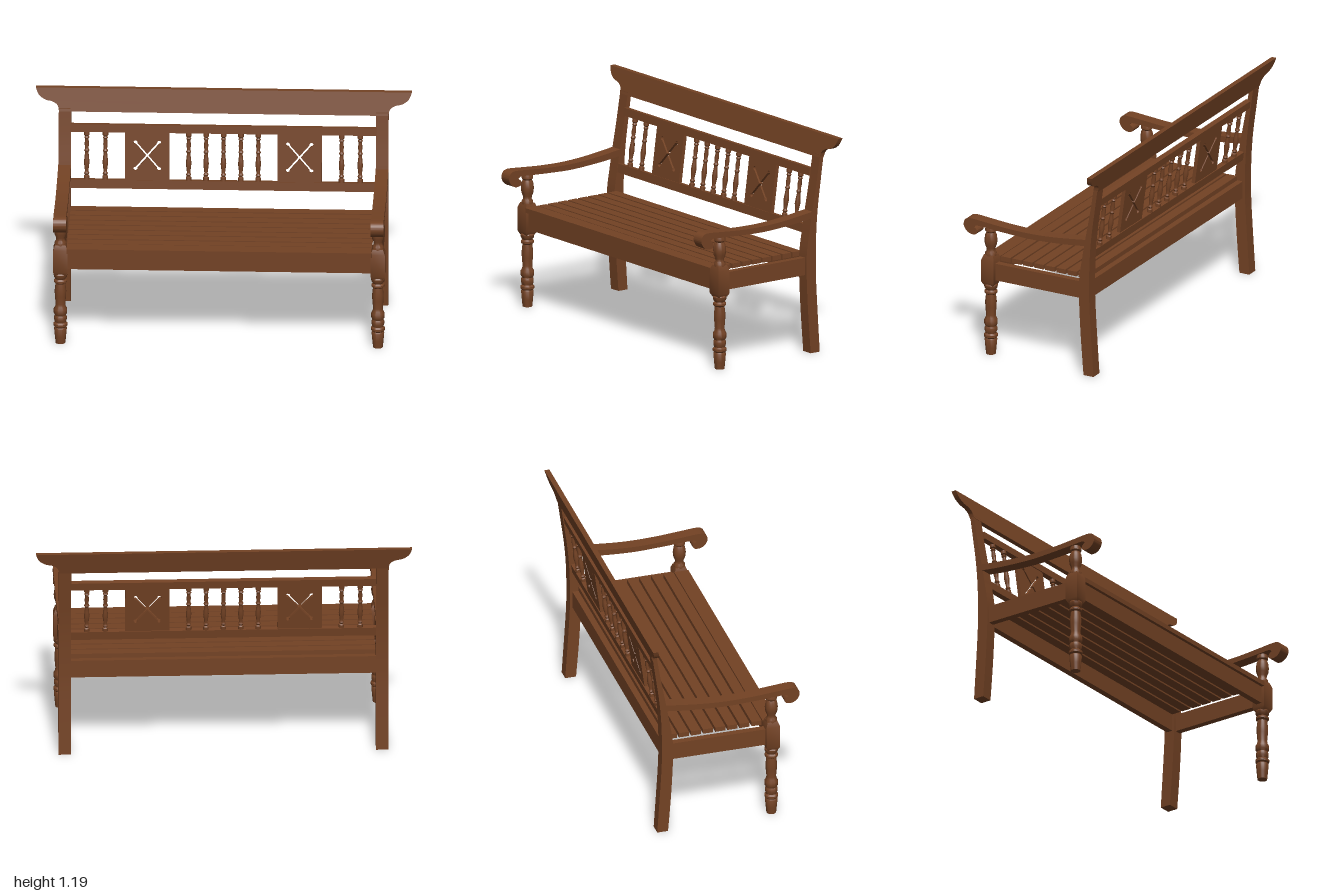
import * as THREE from 'three';
import { toCreasedNormals } from 'three/addons/utils/BufferGeometryUtils.js';

const V = (x, y) => new THREE.Vector2(x, y);

export function createModel() {
  const bench = new THREE.Group();
  bench.name = 'gardenBench';
  const wood = new THREE.MeshStandardMaterial({ color: 0x734224 });
  wood.name = 'brown wood';

  const add = (name, geo, parent = bench) => {
    const mesh = new THREE.Mesh(geo, wood);
    mesh.name = name;
    parent.add(mesh);
    return mesh;
  };
  // Box given by its limits on each axis
  const box = (name, x0, x1, y0, y1, z0, z1, parent) =>
    add(name, new THREE.BoxGeometry(x1 - x0, y1 - y0, z1 - z0)
      .translate((x0 + x1) / 2, (y0 + y1) / 2, (z0 + z1) / 2), parent);
  // Turned part from [radius, height] pairs
  const turned = (points, segments = 24) => toCreasedNormals(new THREE.LatheGeometry(
    points.map(([r, y]) => V(r, y)), segments, Math.PI / 4), 0.7);
  // Side profile in (z, y), extruded along x about x = 0
  const sideProfile = (shape, width) => toCreasedNormals(
    new THREE.ExtrudeGeometry(shape, { depth: width, bevelEnabled: false, curveSegments: 10 })
      .translate(0, 0, -width / 2).rotateY(-Math.PI / 2), 0.6);

  // Back post: splayed below the seat, raked above it
  const post = new THREE.Shape();
  post.moveTo(-0.365, 0);
  post.lineTo(-0.305, 0);
  post.splineThru([V(-0.288, 0.22), V(-0.278, 0.42), V(-0.279, 0.55), V(-0.297, 0.67),
    V(-0.316, 0.78), V(-0.342, 0.92), V(-0.368, 1.08)]);
  post.lineTo(-0.391, 1.08);
  post.splineThru([V(-0.373, 0.95), V(-0.353, 0.8), V(-0.342, 0.66), V(-0.339, 0.5),
    V(-0.343, 0.35), V(-0.365, 0)]);

  // Armrest: dipping bar with a rolled front end
  const arm = new THREE.Shape();
  arm.moveTo(-0.33, 0.742);
  arm.splineThru([V(-0.2, 0.726), V(0, 0.714), V(0.15, 0.718), V(0.28, 0.725), V(0.345, 0.728),
    V(0.363, 0.717)]);
  arm.splineThru([V(0.346, 0.703), V(0.344, 0.686), V(0.358, 0.675), V(0.385, 0.675),
    V(0.41, 0.69), V(0.425, 0.718), V(0.42, 0.745), V(0.402, 0.76), V(0.37, 0.763),
    V(0.28, 0.756), V(0.15, 0.747), V(0, 0.745), V(-0.15, 0.755), V(-0.33, 0.777)]);
  arm.closePath();

  const postGeo = sideProfile(post, 0.066);
  const armGeo = sideProfile(arm, 0.068);
  const lowerLegGeo = turned([[0, 0], [0.026, 0], [0.03, 0.04], [0.034, 0.085], [0.03, 0.092],
    [0.037, 0.1], [0.037, 0.112], [0.029, 0.12], [0.034, 0.135], [0.034, 0.15], [0.029, 0.16],
    [0.036, 0.172], [0.036, 0.195], [0.028, 0.21], [0.026, 0.225], [0.03, 0.27], [0.031, 0.3],
    [0.027, 0.335], [0.026, 0.342], [0.035, 0.35], [0.035, 0.36], [0.027, 0.368], [0.035, 0.38],
    [0.037, 0.395], [0.03, 0.405], [0, 0.405]]);
  const q = Math.SQRT2;
  const blockGeo = turned([[0, 0.395], [0.028 * q, 0.395], [0.038 * q, 0.415], [0.038 * q, 0.54],
    [0.028 * q, 0.568], [0, 0.568]], 4);
  const armPostGeo = turned([[0.03, 0.56], [0.031, 0.578], [0.023, 0.59], [0.024, 0.605],
    [0.032, 0.625], [0.035, 0.65], [0.031, 0.68], [0.024, 0.695], [0.031, 0.703],
    [0.031, 0.713], [0.026, 0.73]]);

  for (const [side, s] of [['left', 1], ['right', -1]]) {
    const end = new THREE.Group();
    end.name = side + 'End';
    end.position.x = s * 0.844;
    bench.add(end);
    add('backPost', postGeo, end);
    add('armrest', armGeo, end);
    for (const [name, geo] of [['frontLeg', lowerLegGeo], ['legBlock', blockGeo], ['armSupport', armPostGeo]]) {
      add(name, geo, end).position.z = 0.278;
    }
    box('sideRail', -0.018, 0.018, 0.43, 0.525, -0.285, 0.245, end);
  }

  // Seat frame and slats
  box('frontApron', -0.815, 0.815, 0.43, 0.526, 0.265, 0.3);
  box('backApron', -0.815, 0.815, 0.43, 0.526, -0.325, -0.29);
  box('frontSlat', -0.81, 0.81, 0.525, 0.551, 0.24, 0.318);
  for (let i = 0; i < 8; i++) {
    const z = 0.207 - i * 0.0672;
    box('seatSlat', -0.81, 0.81, 0.525, 0.551, z - 0.028, z + 0.028);
  }

  // Crest rail with flared, curved ends, leaning back
  const crest = new THREE.Shape();
  crest.moveTo(-0.876, 1.063);
  crest.lineTo(0.876, 1.063);
  crest.splineThru([V(0.884, 1.095), V(0.91, 1.114), V(0.95, 1.124), V(0.983, 1.148), V(1, 1.186)]);
  crest.lineTo(-1, 1.186);
  crest.splineThru([V(-0.983, 1.148), V(-0.95, 1.124), V(-0.91, 1.114), V(-0.884, 1.095), V(-0.876, 1.063)]);
  const crestGeo = new THREE.ExtrudeGeometry(crest, { depth: 0.028, bevelEnabled: false });
  const p = crestGeo.attributes.position;
  for (let i = 0; i < p.count; i++) {
    p.setZ(i, p.getZ(i) - 0.392 - (p.getY(i) - 1.063) * 0.26);
  }
  add('crestRail', toCreasedNormals(crestGeo, 0.6));

  // Back infill, tilted with the posts
  const back = new THREE.Group();
  back.name = 'backInfill';
  back.position.set(0, 0.65, -0.312);
  back.rotation.x = -0.135;
  bench.add(back);
  box('lowerRail', -0.815, 0.815, 0, 0.047, -0.015, 0.015, back);
  box('upperRail', -0.815, 0.815, 0.308, 0.35, -0.015, 0.015, back);

  // Turned spindles
  const spindleGeo = turned([[0.015, 0.04], [0.015, 0.065], [0.009, 0.07], [0.014, 0.08],
    [0.009, 0.09], [0.012, 0.115], [0.015, 0.14], [0.012, 0.17], [0.009, 0.195], [0.014, 0.205],
    [0.009, 0.215], [0.012, 0.24], [0.009, 0.268], [0.014, 0.276], [0.009, 0.284],
    [0.015, 0.29], [0.015, 0.312]], 14);
  for (const x of [-0.727, -0.628, -0.185, -0.0925, 0, 0.0925, 0.185, 0.628, 0.727]) {
    add('spindle', spindleGeo, back).position.x = x;
  }

  // Panels pierced by a cross with round tips
  const panel = new THREE.Shape([V(-0.118, 0.03), V(0.118, 0.03), V(0.118, 0.32), V(-0.118, 0.32)]);
  const cut = [];
  const angles = [49, 131, 229, 311].map(THREE.MathUtils.degToRad);
  const w = 0.006, tip = 0.011, reach = 0.096, cy = 0.181;
  angles.forEach((a, i) => {
    const half = (i % 2 ? 82 : 98) * Math.PI / 360; // half angle to the previous arm
    const d = w / Math.sin(half);
    cut.push(V(Math.cos(a - half) * d, cy + Math.sin(a - half) * d));
    const open = Math.PI - Math.asin(w / tip);
    for (let k = 0; k <= 10; k++) {
      const t = a - open + 2 * open * k / 10;
      cut.push(V(Math.cos(a) * reach + Math.cos(t) * tip, cy + Math.sin(a) * reach + Math.sin(t) * tip));
    }
  });
  panel.holes.push(new THREE.Path(cut));
  const panelGeo = toCreasedNormals(
    new THREE.ExtrudeGeometry(panel, { depth: 0.02, bevelEnabled: false }).translate(0, 0, -0.01), 0.7);
  for (const x of [-0.405, 0.405]) add('crossPanel', panelGeo, back).position.x = x;

  return bench;
}
